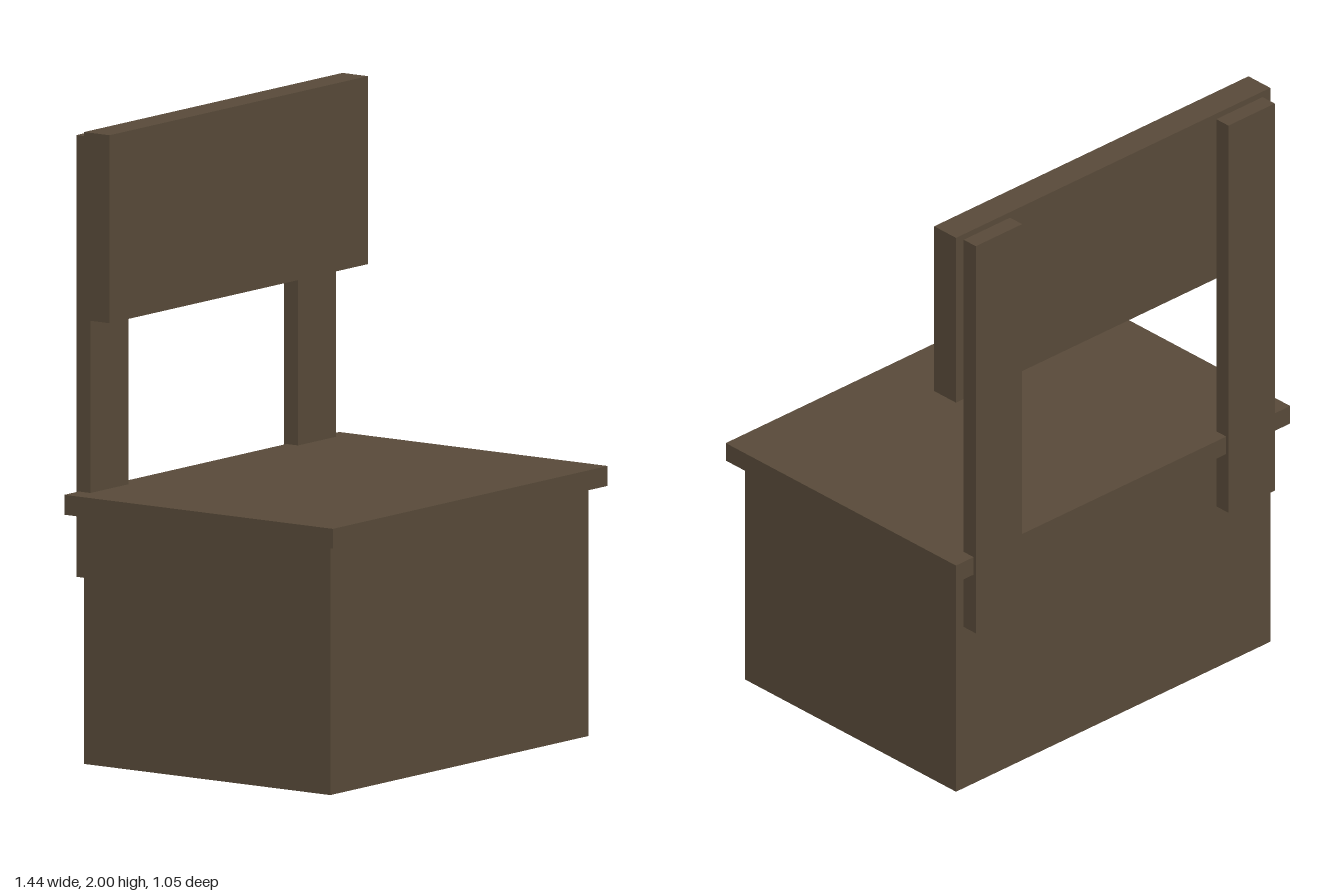
import * as THREE from 'three';

export function createModel() {
  const model = new THREE.Group();
  const wood = new THREE.MeshStandardMaterial({ color: 0x584a39, side: THREE.DoubleSide });
  wood.name = 'dark wood';

  // Adds a block from its min and max corners
  const addBlock = (name, [x0, y0, z0], [x1, y1, z1]) => {
    const geometry = new THREE.BoxGeometry(x1 - x0, y1 - y0, z1 - z0);
    const mesh = new THREE.Mesh(geometry, wood);
    mesh.position.set((x0 + x1) / 2, (y0 + y1) / 2, (z0 + z1) / 2);
    mesh.name = name;
    model.add(mesh);
    return mesh;
  };

  // Hollow base: four walls, open underneath and closed by the seat
  const base = addBlock('base', [-0.675, 0, -0.472], [0.675, 0.79, 0.485]);
  const faces = Array.from(base.geometry.index.array);
  faces.splice(12, 12); // drop the top and bottom faces
  base.geometry.setIndex(faces);
  base.geometry.clearGroups();

  // Overhanging seat board
  addBlock('seat', [-0.718, 0.79, -0.517], [0.718, 0.853, 0.527]);

  // Backrest panel
  addBlock('backrest', [-0.675, 1.405, -0.472], [0.675, 2, -0.373]);

  // Two uprights fixed behind the base and the backrest
  addBlock('leftUpright', [0.443, 0.582, -0.527], [0.642, 1.98, -0.472]);
  addBlock('rightUpright', [-0.642, 0.582, -0.527], [-0.443, 1.98, -0.472]);

  return model;
}
